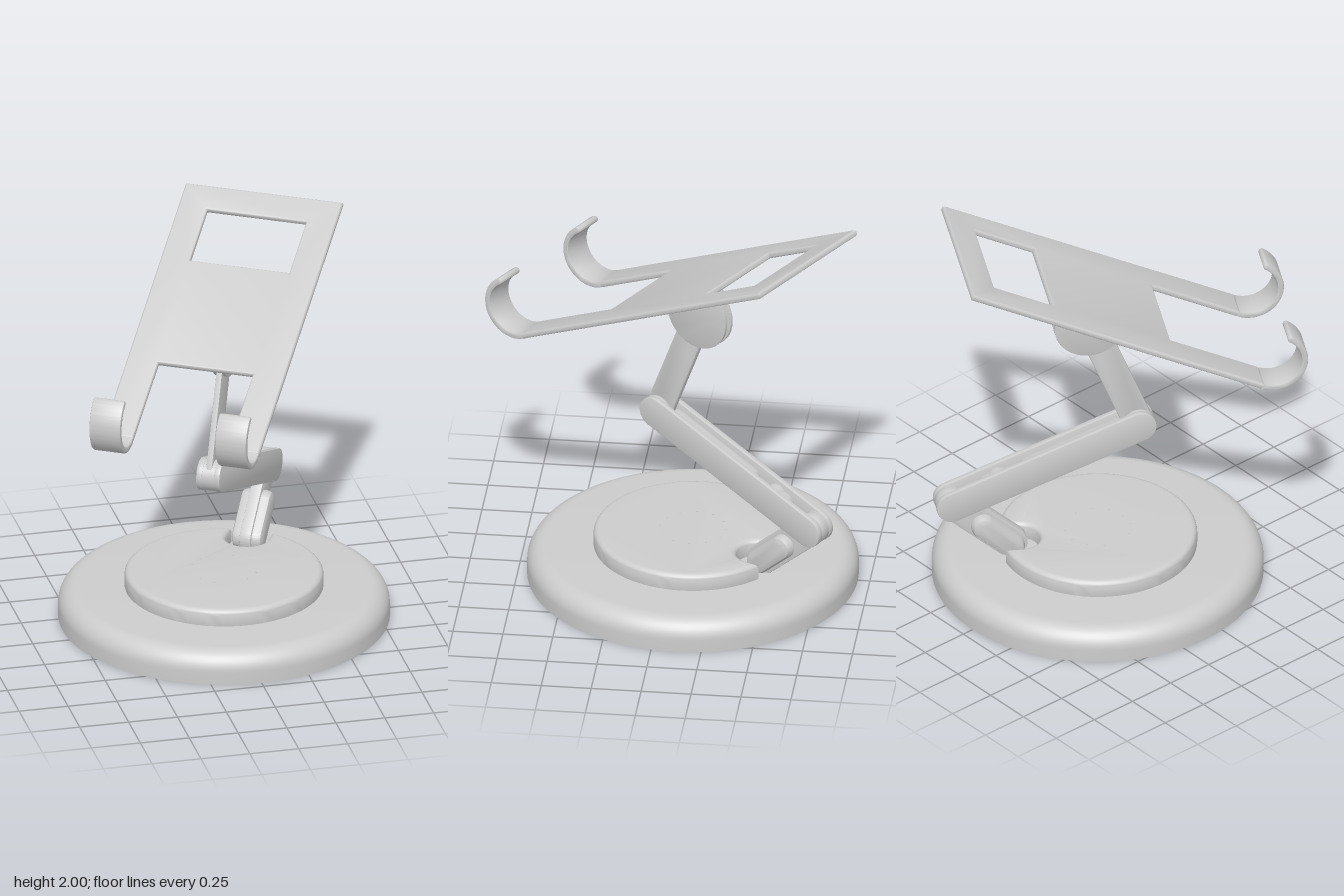
import * as THREE from 'three';
import { toCreasedNormals } from 'three/addons/utils/BufferGeometryUtils.js';

const material = new THREE.MeshStandardMaterial({ color: 0xcccccc });
const rad = THREE.MathUtils.degToRad;

function add(parent, name, geometry) {
  const mesh = new THREE.Mesh(geometry, material);
  mesh.name = name;
  parent.add(mesh);
  return mesh;
}

// Extrude a shape to an exact total depth, with rounded edges kept inside it
function slab(shape, depth, bevel = 0.004, bevelSegments = 2) {
  const geo = new THREE.ExtrudeGeometry(shape, {
    depth: depth - 2 * bevel, bevelSize: bevel, bevelThickness: bevel,
    bevelOffset: -bevel, bevelSegments, curveSegments: 32,
  });
  geo.translate(0, 0, bevel);
  return geo;
}

// Side profile drawn in (z, y), given a width centred on x
function sidePart(parent, name, shape, width, x = 0, bevel = 0.004) {
  const geo = slab(shape, width, bevel);
  geo.translate(0, 0, -width / 2);
  geo.rotateY(-Math.PI / 2);
  const mesh = add(parent, name, toCreasedNormals(geo, rad(35)));
  mesh.position.x = x;
  return mesh;
}

// Round-ended bar between two points
function bar(a, b, r) {
  const t = Math.atan2(b[1] - a[1], b[0] - a[0]);
  const s = new THREE.Shape();
  s.absarc(a[0], a[1], r, t + Math.PI / 2, t + Math.PI * 1.5);
  s.absarc(b[0], b[1], r, t - Math.PI / 2, t + Math.PI / 2);
  s.closePath();
  return s;
}

const mix = (a, b, t) => [a[0] + (b[0] - a[0]) * t, a[1] + (b[1] - a[1]) * t];

function crossPin(parent, name, p, r, width) {
  const geo = new THREE.CylinderGeometry(r, r, width, 32).rotateZ(Math.PI / 2);
  add(parent, name, geo).position.set(0, p[1], p[0]);
}

export function createModel() {
  const model = new THREE.Group();
  model.name = 'tabletStand';
  const stand = new THREE.Group();
  stand.name = 'stand';
  stand.position.set(0.005, 0, -0.115);
  stand.rotation.y = rad(-30);
  model.add(stand);

  // Joint positions in (z, y)
  const foot = [-0.44, 0.225], knee = [-0.742, 0.495];
  const elbow = [0.205, 0.86], tilt = [-0.044, 1.486];

  // Base with a rounded upper rim
  const R = 0.825, H = 0.165, round = 0.1;
  const profile = [new THREE.Vector2(0, 0), new THREE.Vector2(R, 0)];
  for (let i = 0; i <= 12; i++) {
    const a = (i / 12) * Math.PI / 2;
    profile.push(new THREE.Vector2(R - round + round * Math.cos(a), H - round + round * Math.sin(a)));
  }
  profile.push(new THREE.Vector2(0, H));
  add(stand, 'base', toCreasedNormals(new THREE.LatheGeometry(profile, 96), rad(35)));

  // Turntable, notched at the back for the lower arm
  const disc = new THREE.Shape();
  const half = Math.asin(0.105 / 0.495);
  disc.absarc(0, 0, 0.495, -Math.PI / 2 + half, Math.PI * 1.5 - half);
  disc.lineTo(-0.105, -0.4);
  disc.absarc(0, -0.4, 0.105, Math.PI, 0, true);
  disc.closePath();
  const discGeo = slab(disc, 0.13, 0.03, 5);
  discGeo.rotateX(Math.PI / 2);
  add(stand, 'turntable', toCreasedNormals(discGeo, rad(35))).position.y = 0.25;

  // Ring of small dimples on the turntable
  for (let i = 0; i < 12; i++) {
    const a = (i / 12) * Math.PI * 2;
    add(stand, 'dimple', new THREE.CylinderGeometry(0.005, 0.005, 0.002, 8))
      .position.set(0.165 * Math.cos(a), 0.2505, 0.165 * Math.sin(a));
  }

  // Lower arm rising from a wider rounded socket
  sidePart(stand, 'lowerArm', bar(foot, knee, 0.08), 0.058);
  sidePart(stand, 'armSocket', bar(foot, mix(foot, knee, 0.48), 0.062), 0.16, 0, 0.03);

  // Middle link: two cheeks joined by a web, pins and end hubs
  for (const side of [-1, 1]) {
    sidePart(stand, 'linkCheek', bar(elbow, knee, 0.082), 0.03, side * 0.046);
  }
  for (const [from, to] of [[0.1, 0.58], [0.76, 0.8]]) {
    sidePart(stand, 'linkWeb', bar(mix(elbow, knee, from), mix(elbow, knee, to), 0.05), 0.066);
  }
  crossPin(stand, 'linkPin', mix(elbow, knee, 0.74), 0.06, 0.066);
  crossPin(stand, 'elbowHub', elbow, 0.08, 0.1);
  crossPin(stand, 'kneeHub', knee, 0.08, 0.1);

  // Upper arm
  sidePart(stand, 'upperArm', bar(elbow, tilt, 0.075), 0.03);

  // Twin tilt bracket plates under the cradle
  const pitch = rad(26), c = Math.cos(pitch), s = Math.sin(pitch);
  const r = 0.18, rise = 0.145;
  const bracket = new THREE.Shape();
  bracket.absarc(tilt[0], tilt[1], r, Math.PI - pitch, 2 * Math.PI - pitch);
  bracket.lineTo(tilt[0] + r * c + rise * s, tilt[1] - r * s + rise * c);
  bracket.lineTo(tilt[0] - r * c + rise * s, tilt[1] + r * s + rise * c);
  bracket.closePath();
  for (const side of [-1, 1]) {
    sidePart(stand, 'tiltBracket', bracket, 0.016, side * 0.023, 0.002);
  }

  // Cradle: sloping plate with a window and two legs
  const cradle = new THREE.Group();
  cradle.name = 'cradle';
  cradle.position.set(0, 2, -0.705);
  cradle.rotation.x = pitch;
  stand.add(cradle);

  const thick = 0.032, outer = 0.407, inner = 0.245, end = 1.637;
  const toShape = (Type, pts) => new Type(pts.map(([x, y]) => new THREE.Vector2(x, y)));
  const plate = toShape(THREE.Shape, [
    [-outer, 0], [outer, 0], [outer, end], [inner, end],
    [inner, 1.144], [-inner, 1.144], [-inner, end], [-outer, end],
  ]);
  plate.holes.push(toShape(THREE.Path, [[-0.257, 0.15], [-0.257, 0.48], [0.257, 0.48], [0.257, 0.15]]));
  const plateGeo = slab(plate, thick, 0.01, 3);
  plateGeo.rotateX(Math.PI / 2);
  add(cradle, 'cradlePlate', toCreasedNormals(plateGeo, rad(35)));

  // Curled hooks at the ends of the legs, with rounded tips
  const hookR = 0.165, cy = hookR - thick, tip = rad(84), mid = hookR - thick / 2;
  const hook = new THREE.Shape();
  hook.absarc(end, cy, hookR, -Math.PI / 2, tip);
  hook.absarc(end + mid * Math.cos(tip), cy + mid * Math.sin(tip), thick / 2, tip, tip + Math.PI);
  hook.absarc(end, cy, hookR - thick, tip, -Math.PI / 2, true);
  hook.closePath();
  for (const side of [-1, 1]) {
    sidePart(cradle, 'hook', hook, outer - inner, side * (outer + inner) / 2, 0.008);
  }
  return model;
}
